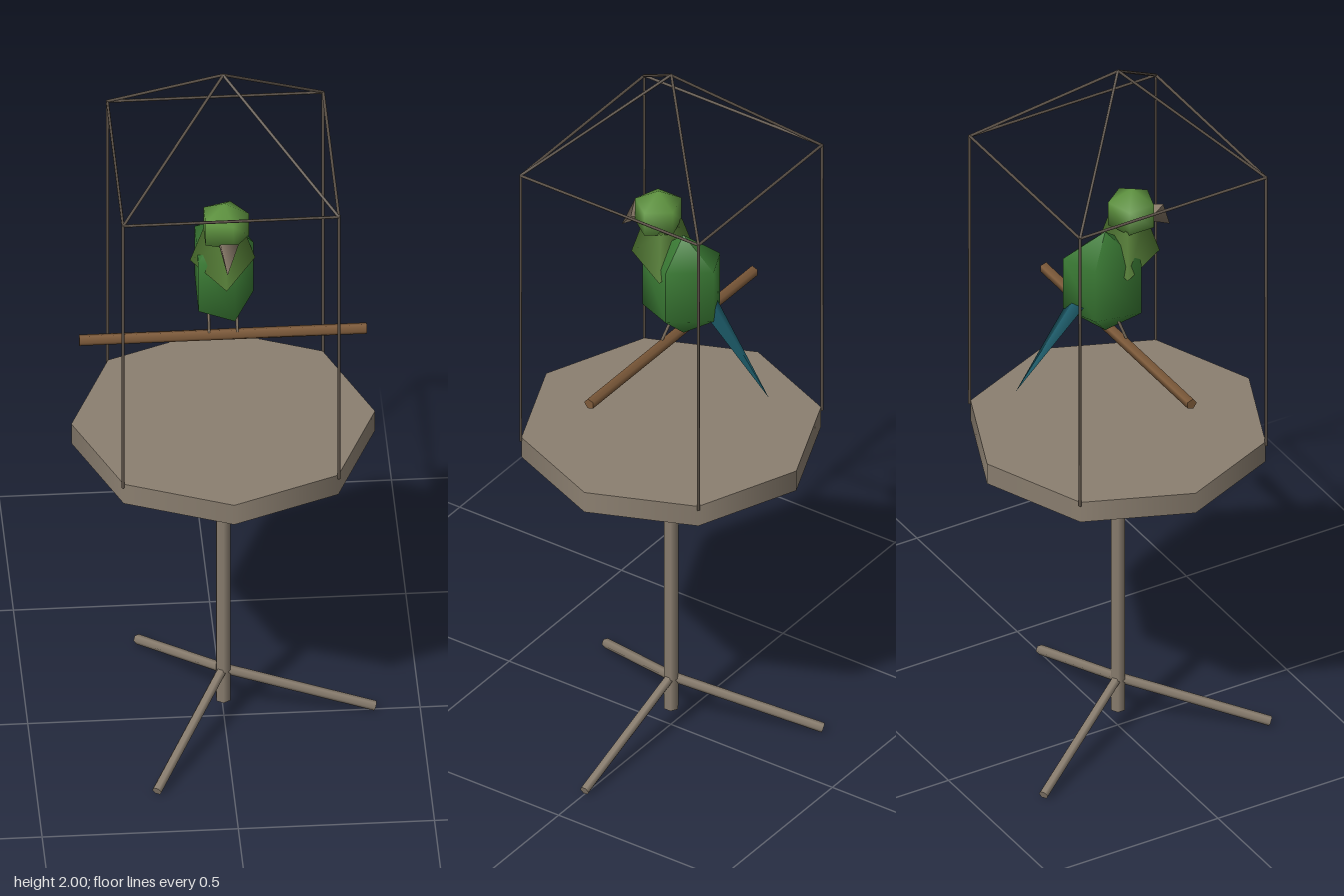
import * as THREE from 'three';

const UP = new THREE.Vector3(0, 1, 0);
const paint = (color) => new THREE.MeshStandardMaterial({ color });
const WOOD = paint(0x8b7f70), WIRE = paint(0x5c5248), PERCH = paint(0x7d5a3a);
const BODY = paint(0x3a7a34), HEAD = paint(0x5f9440), COLLAR = paint(0x527a33);
const TAIL = paint(0x1c5a68), BEAK = paint(0x857766);

export function createModel() {
  const model = new THREE.Group();
  model.name = 'birdStand';

  function add(name, geometry, material, parent = model) {
    const mesh = new THREE.Mesh(geometry, material);
    mesh.name = name;
    parent.add(mesh);
    return mesh;
  }

  // Tapered rod running from point a (radius ra) to point b (radius rb)
  function rod(name, a, b, ra, rb, sides, material, parent) {
    const start = new THREE.Vector3(...a), end = new THREE.Vector3(...b);
    const dir = end.clone().sub(start);
    const mesh = add(name, new THREE.CylinderGeometry(rb, ra, dir.length(), sides), material, parent);
    mesh.position.copy(start).add(end).multiplyScalar(0.5);
    mesh.quaternion.setFromUnitVectors(UP, dir.normalize());
    return mesh;
  }

  // Coarse five-sided ball with one ring corner towards +x
  const ball = (rx, ry, rz) =>
    new THREE.SphereGeometry(1, 5, 3).rotateY(Math.PI).scale(rx, ry, rz);

  // Stand: tray, pole and three splayed feet
  add('tray', new THREE.CylinderGeometry(0.387, 0.387, 0.06, 8), WOOD).position.set(-0.002, 0.9, 0);
  rod('pole', [-0.002, 0.055, 0], [-0.002, 0.88, 0], 0.02, 0.02, 6, WOOD);
  for (let i = 0; i < 3; i++) {
    const a = (i * Math.PI * 2) / 3;
    rod('foot', [-0.002, 0.15, 0],
      [0.387 * Math.cos(a) - 0.002, 0.013, 0.387 * Math.sin(a)], 0.013, 0.013, 6, WOOD);
  }

  // Cage: posts, top rails and rafters meeting at the peak
  const cage = new THREE.Group();
  cage.name = 'cage';
  cage.position.x = -0.002;
  model.add(cage);
  const corners = [[1, 1], [1, -1], [-1, -1], [-1, 1]].map(([x, z]) => [x * 0.275, z * 0.275]);
  corners.forEach(([x, z], i) => {
    const [nx, nz] = corners[(i + 1) % 4];
    rod('cagePost', [x, 0.92, z], [x, 1.737, z], 0.004, 0.004, 5, WIRE, cage);
    rod('cageRail', [x, 1.735, z], [nx, 1.735, nz], 0.004, 0.004, 5, WIRE, cage);
    rod('cageRafter', [x, 1.735, z], [0, 1.997, 0], 0.004, 0.004, 5, WIRE, cage);
  });

  rod('perch', [-0.369, 1.19, 0], [0.364, 1.19, 0], 0.015, 0.015, 5, PERCH);

  // Bird
  const bird = new THREE.Group();
  bird.name = 'bird';
  bird.position.x = -0.002;
  model.add(bird);

  // Body leans: its back sits a little higher than its chest
  const body = ball(0.093, 0.15, 0.134);
  const p = body.attributes.position;
  for (let i = 0; i < p.count; i++) p.setY(i, p.getY(i) - 0.14 * p.getZ(i));
  body.computeVertexNormals();
  add('body', body, BODY, bird).position.set(0, 1.37, -0.038);

  add('head', ball(0.072, 0.068, 0.071), HEAD, bird).position.set(0, 1.557, 0.04);

  // Three-cornered collar pointing forward
  add('collar', new THREE.CylinderGeometry(0.055, 0.096, 0.12, 3), COLLAR, bird)
    .position.set(0, 1.47, 0.027);

  // Hooked-down beak, one base corner towards +x
  const beak = rod('beak', [0, 1.54, 0.103], [0, 1.48, 0.153], 0.032, 0, 3, BEAK, bird);
  beak.geometry.rotateY(Math.PI / 2);

  // Long flat tail
  const tail = rod('tail', [0, 1.37, -0.09], [0, 1.122, -0.302], 0.038, 0, 4, TAIL, bird);
  tail.scale.z = 0.42;

  for (const side of [-1, 1])
    rod('leg', [side * 0.036, 1.3, -0.035], [side * 0.036, 1.19, 0.008], 0.004, 0.004, 5, BEAK, bird);

  return model;
}
